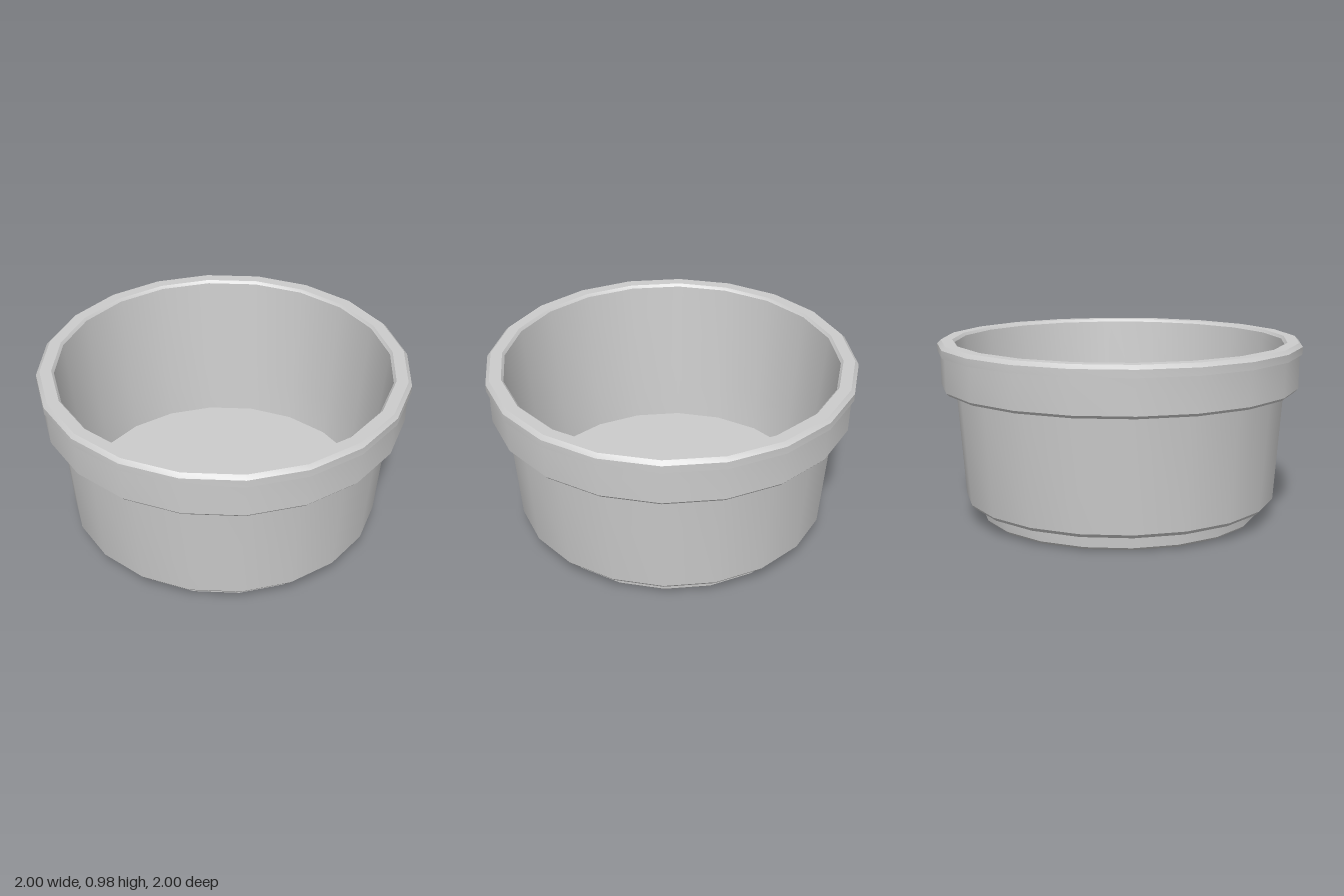
import * as THREE from 'three';
import { toCreasedNormals } from 'three/addons/utils/BufferGeometryUtils.js';

const SIDES = 20;

// Revolve a profile of [radius, height] points, keeping sharp rims
function turned(name, profile, material) {
  const points = profile.map(([r, y]) => new THREE.Vector2(r, y));
  const geometry = toCreasedNormals(new THREE.LatheGeometry(points, SIDES), 0.5);
  const mesh = new THREE.Mesh(geometry, material);
  mesh.name = name;
  return mesh;
}

export function createModel() {
  const group = new THREE.Group();
  group.name = 'bowl';
  const material = new THREE.MeshStandardMaterial({ color: 0xcccccc, side: THREE.DoubleSide });

  // Recessed foot and its flat underside
  group.add(turned('foot', [
    [0, 0], [0.76, 0], [0.775, 0.015], [0.78, 0.09],
  ], material));

  // Tapered outer wall with a bevelled lower edge
  group.add(turned('outerWall', [
    [0.78, 0.09], [0.845, 0.09], [0.862, 0.11], [0.905, 0.715],
  ], material));

  // Thick band below the rim
  group.add(turned('band', [
    [0.905, 0.715], [0.97, 0.715], [0.983, 0.73], [0.985, 0.915],
  ], material));

  // Rim lip with a bevelled top
  group.add(turned('rim', [
    [0.985, 0.915], [1, 0.915], [1, 0.955], [0.98, 0.975], [0.918, 0.975], [0.905, 0.96],
  ], material));

  // Inner wall tapering down to the floor
  group.add(turned('innerWall', [
    [0.905, 0.96], [0.85, 0.33], [0.83, 0.1],
  ], material));

  // Flat floor
  group.add(turned('floor', [[0.83, 0.1], [0, 0.1]], material));

  return group;
}
